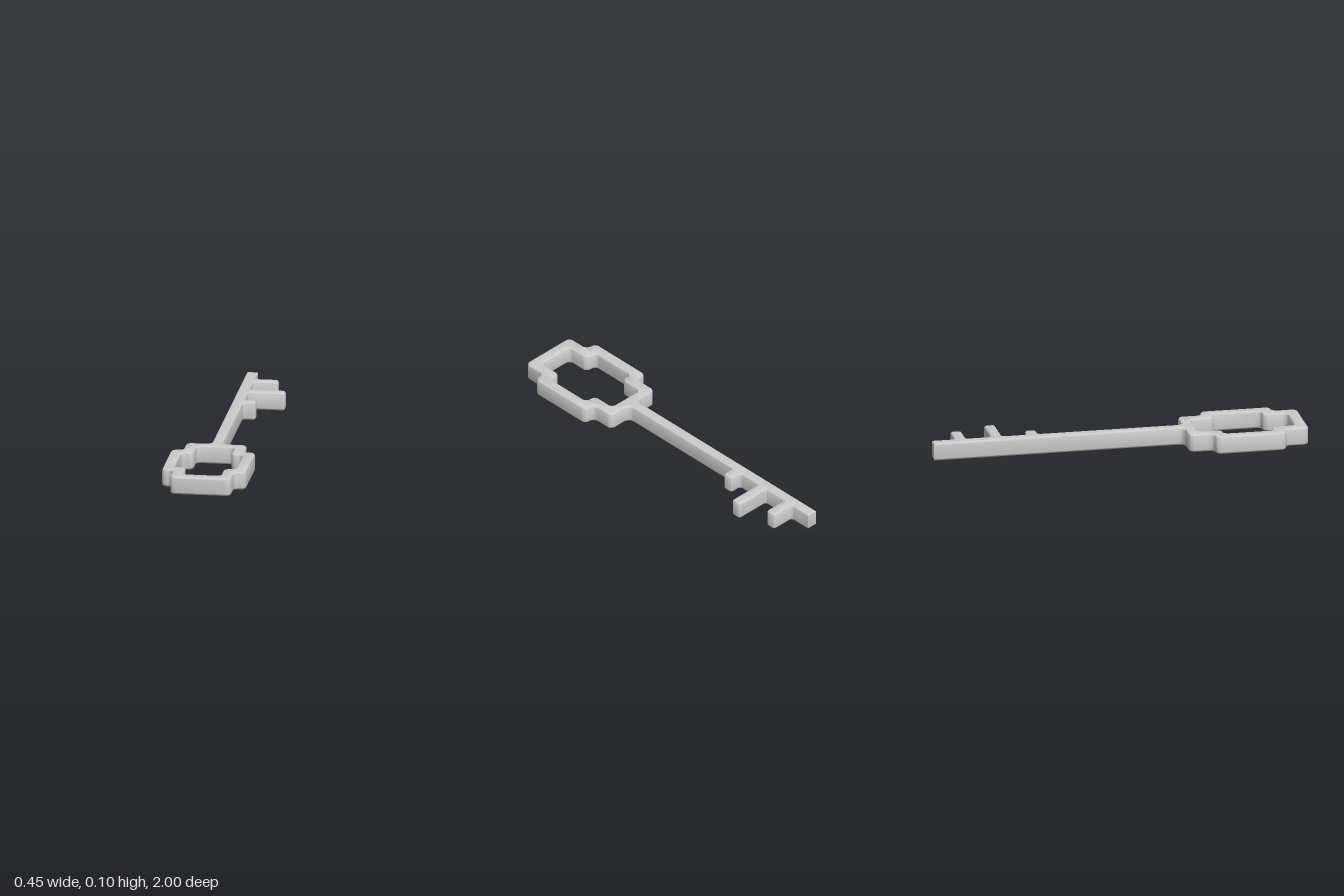
import * as THREE from 'three';
import { toCreasedNormals } from 'three/addons/utils/BufferGeometryUtils.js';

const HEIGHT = 0.097;
const BEVEL = 0.012;

// Rounds every right-angled corner [x, y, radius] of a closed outline.
function roundCorners(corners, steps = 6) {
  const points = [];
  corners.forEach(([x, y, r], i) => {
    const p = new THREE.Vector2(x, y);
    if (!r) {
      points.push(p);
      return;
    }
    const toward = ([cx, cy]) => new THREE.Vector2(cx, cy).sub(p).normalize().multiplyScalar(r);
    const u = toward(corners[(i + corners.length - 1) % corners.length]);
    const v = toward(corners[(i + 1) % corners.length]);
    const centre = p.clone().add(u).add(v);
    for (let k = 0; k <= steps; k++) {
      const t = (k / steps) * Math.PI / 2;
      points.push(centre.clone().addScaledVector(v, -Math.cos(t)).addScaledVector(u, -Math.sin(t)));
    }
  });
  return points;
}

// Left-right mirror of a chain of corners, in reverse order.
const mirrored = (corners) => corners.map(([x, y, r]) => [-x, y, r]).reverse();

export function createModel() {
  const group = new THREE.Group();
  group.name = 'key';

  // Outline is drawn with y pointing to the back of the key.
  const bowSide = [
    [0.163, -1, 0.03], [0.163, -0.868, 0.03], [0.225, -0.868, 0.03],
    [0.225, -0.485, 0.03], [0.163, -0.485, 0.03], [0.163, -0.353, 0.03],
    [0.03, -0.353, 0.035],
  ];

  // Teeth: [start, end, reach]
  const teeth = [[0.425, 0.487, 0.096], [0.62, 0.68, 0.225], [0.815, 0.876, 0.16]]
    .flatMap(([a, b, reach]) => [
      [0.03, a, 0.016], [reach, a, 0.016], [reach, b, 0.016], [0.03, b, 0.016],
    ]);

  const tip = [[0.03, 1, 0], [-0.03, 1, 0]];
  const shape = new THREE.Shape(roundCorners([...bowSide, ...teeth, ...tip, ...mirrored(bowSide)]));

  // Stepped opening inside the bow
  const openingSide = [
    [0.1, -0.935, 0.025], [0.1, -0.805, 0.03], [0.163, -0.805, 0.025],
    [0.163, -0.541, 0.025], [0.1, -0.541, 0.03], [0.1, -0.41, 0.025],
  ];
  shape.holes.push(new THREE.Path(roundCorners([...openingSide, ...mirrored(openingSide)])));

  // Bow, shaft and teeth are one continuous body with softened edges
  const geometry = new THREE.ExtrudeGeometry(shape, {
    depth: HEIGHT - 2 * BEVEL,
    bevelThickness: BEVEL,
    bevelSize: BEVEL,
    bevelOffset: -BEVEL,
    bevelSegments: 4,
  });
  geometry.translate(0, 0, BEVEL);
  geometry.rotateX(-Math.PI / 2);

  const body = new THREE.Mesh(
    toCreasedNormals(geometry, 0.7),
    new THREE.MeshStandardMaterial({ color: 0xcccccc }),
  );
  body.name = 'bowShaftAndTeeth';
  group.add(body);
  return group;
}
